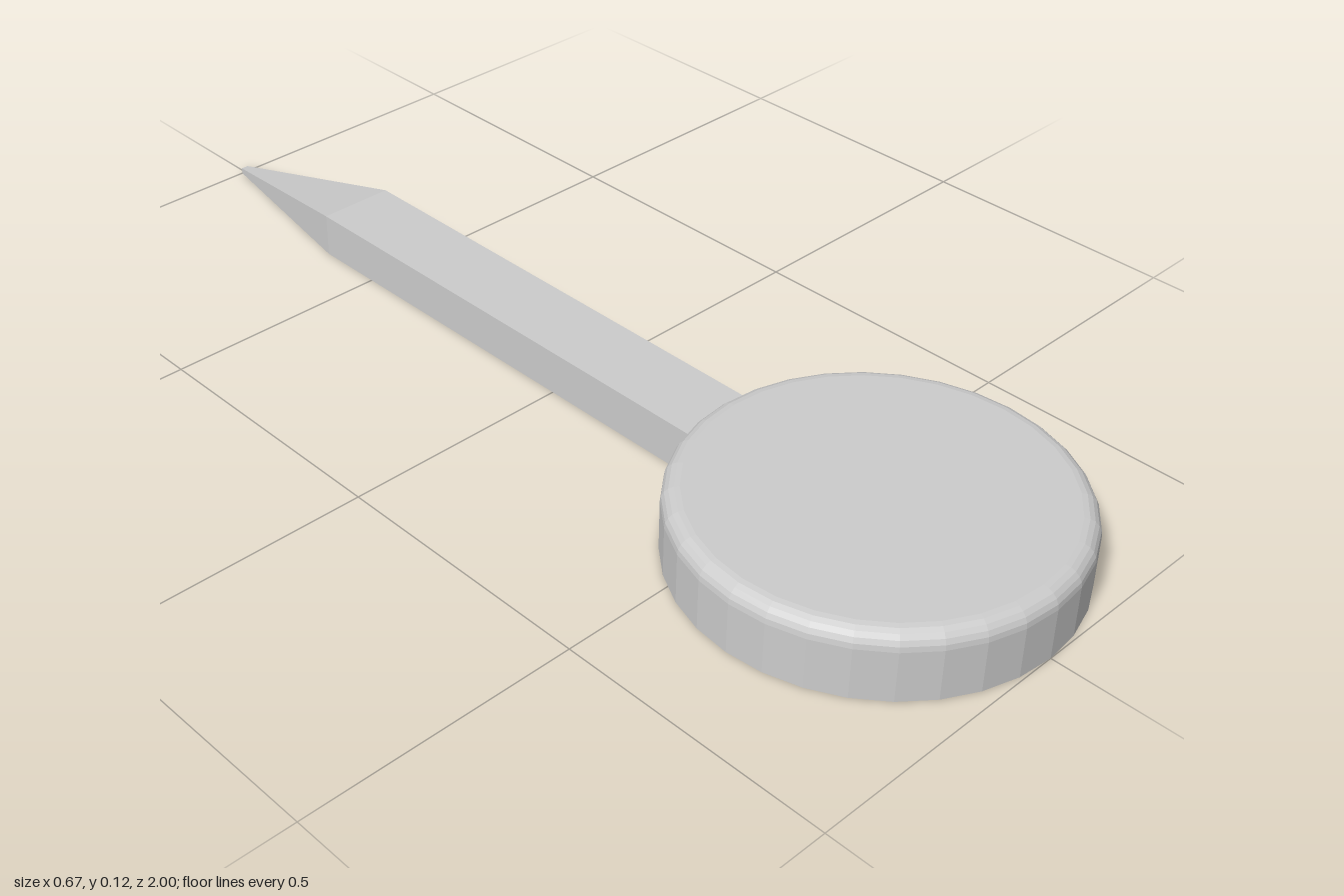
import * as THREE from 'three';

// Unshared vertices give every face its own flat normal
function faceted(geometry) {
  const g = geometry.index ? geometry.toNonIndexed() : geometry;
  g.computeVertexNormals();
  return g;
}

// Skin a row of rectangular sections [z, halfWidth, height] resting on y = 0
function loft(sections) {
  const pos = [], idx = [];
  for (const [z, w, h] of sections) pos.push(-w, 0, z, w, 0, z, w, h, z, -w, h, z);
  for (let s = 0; s < sections.length - 1; s++) {
    for (let i = 0; i < 4; i++) {
      const a = s * 4 + i, b = s * 4 + (i + 1) % 4;
      idx.push(a, a + 4, b, b, a + 4, b + 4);
    }
  }
  const e = (sections.length - 1) * 4;
  idx.push(0, 1, 2, 0, 2, 3, e, e + 2, e + 1, e, e + 3, e + 2);
  const g = new THREE.BufferGeometry();
  g.setAttribute('position', new THREE.Float32BufferAttribute(pos, 3));
  g.setIndex(idx);
  return faceted(g);
}

export function createModel() {
  const group = new THREE.Group();
  const grey = new THREE.MeshStandardMaterial({ color: 0xcccccc });
  grey.name = 'light grey';

  // Round head with a rounded upper rim
  const R = 0.337, H = 0.123, B = 0.03, steps = 5;
  const profile = [new THREE.Vector2(0, 0), new THREE.Vector2(R, 0)];
  for (let i = 0; i <= steps; i++) {
    const a = (i / steps) * Math.PI / 2;
    profile.push(new THREE.Vector2(R - B + B * Math.cos(a), H - B + B * Math.sin(a)));
  }
  profile.push(new THREE.Vector2(0, H));
  const head = new THREE.Mesh(faceted(new THREE.LatheGeometry(profile, 32)), grey);
  head.name = 'roundHead';
  head.position.z = 1 - R;
  group.add(head);

  // Straight shaft tapering to a blunt point
  const shaft = new THREE.Mesh(loft([
    [0.36, 0.072, 0.083],
    [-0.63, 0.072, 0.083],
    [-1, 0.007, 0.011],
  ]), grey);
  shaft.name = 'pointedShaft';
  group.add(shaft);

  return group;
}
